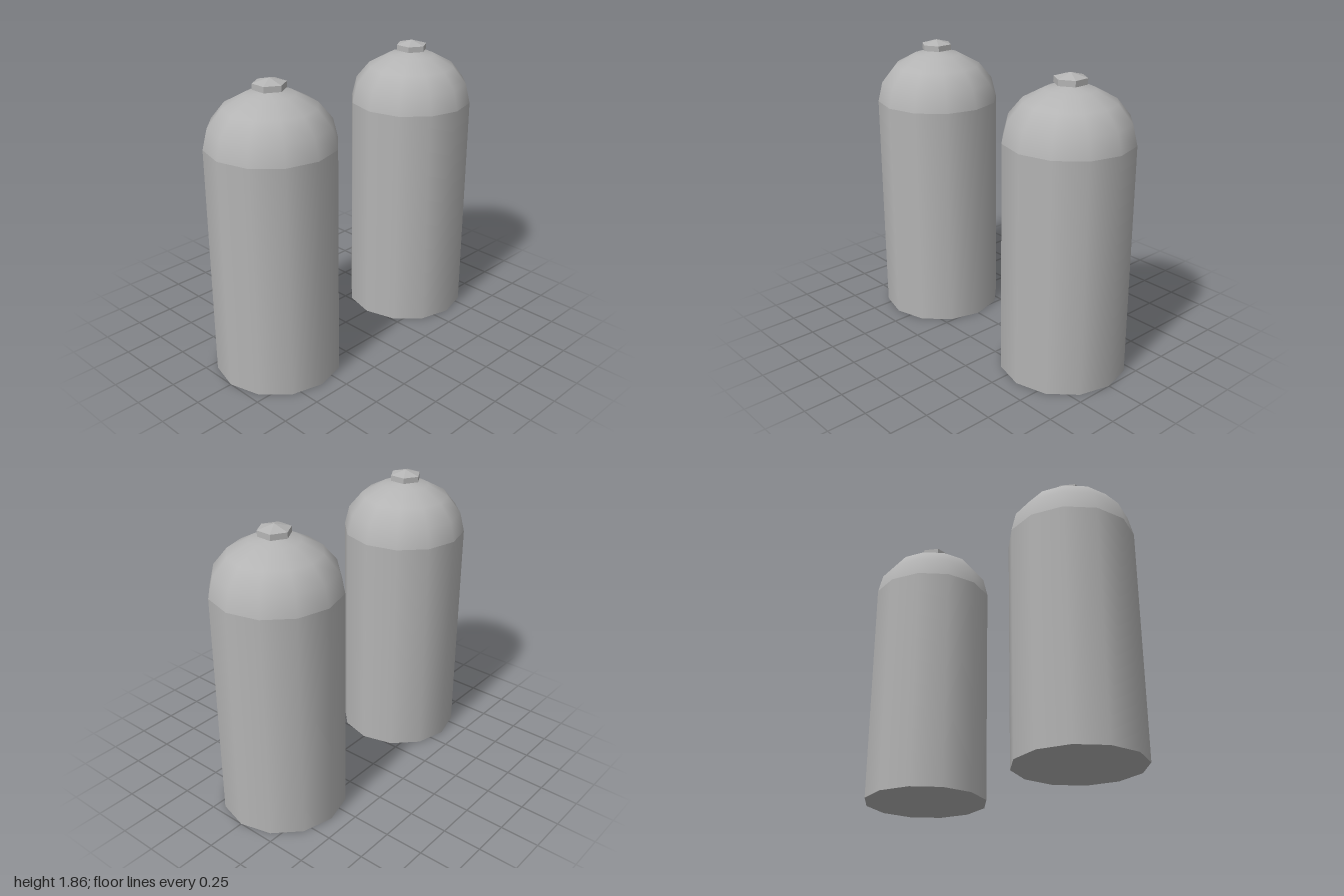
import * as THREE from 'three';

const RADIUS = 0.395;   // tank radius
const SHOULDER = 1.466; // where the dome begins
const DOME = 0.324;     // dome height

// Facet a geometry by giving every face its own normals
function faceted(geometry) {
  const g = geometry.toNonIndexed();
  g.computeVertexNormals();
  return g;
}

function createTank(name, z, material) {
  const tank = new THREE.Group();
  tank.name = name;
  tank.position.z = z;

  const add = (partName, geometry, y) => {
    const mesh = new THREE.Mesh(geometry, material);
    mesh.name = partName;
    mesh.position.y = y;
    tank.add(mesh);
  };

  // Twelve-sided body with a closed base; the dome covers its top
  const body = new THREE.CylinderGeometry(RADIUS, RADIUS, SHOULDER, 12);
  add('body', body, SHOULDER / 2);

  // Slightly squashed dome, four rings high
  const profile = [];
  for (let i = 0; i <= 4; i++) {
    const a = (i / 4) * Math.PI / 2;
    profile.push(new THREE.Vector2(i === 4 ? 0 : RADIUS * Math.cos(a), DOME * Math.sin(a)));
  }
  add('dome', new THREE.LatheGeometry(profile, 12), SHOULDER);

  // Hexagonal cap with corners on the x axis and a low pointed top
  const turn = Math.PI / 6;
  add('capRim', faceted(new THREE.CylinderGeometry(0.1, 0.1, 0.036, 6, 1, false, turn)), 1.814);
  add('capPoint', faceted(new THREE.ConeGeometry(0.1, 0.028, 6, 1, true, turn)), 1.846);

  return tank;
}

export function createModel() {
  const steel = new THREE.MeshStandardMaterial({ color: 0xb4b4b4 });
  steel.name = 'steel grey';

  const model = new THREE.Group();
  model.name = 'tankPair';
  model.add(createTank('frontTank', 0.605, steel));
  model.add(createTank('backTank', -0.605, steel));
  return model;
}
